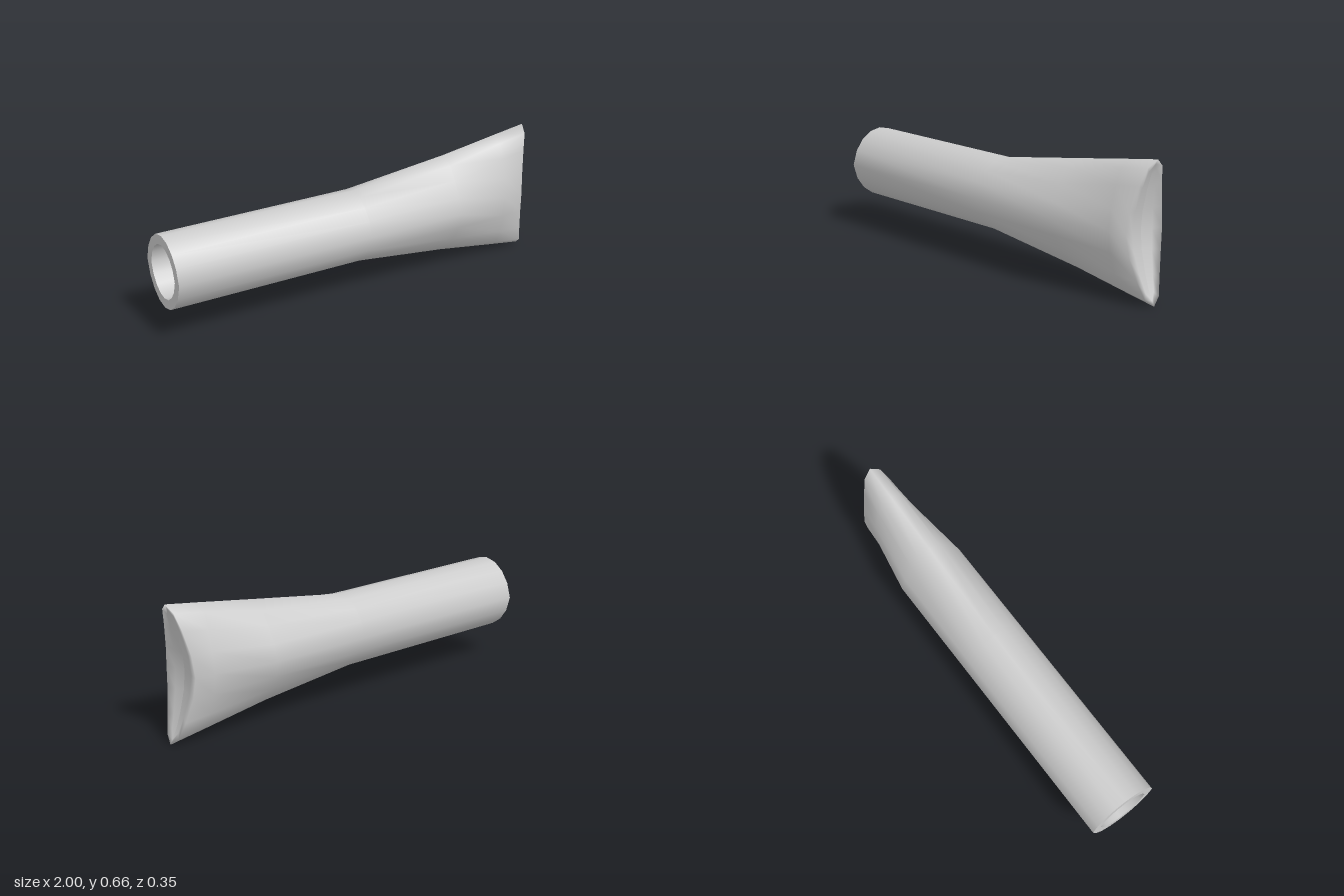
import * as THREE from 'three';

const CENTRE_Y = 0.335;

// Mirrors a quarter outline of [z, y, x] points (side to top) into a closed 16-point ring.
function ring(quarter) {
  const q = quarter.map(([z, y, x]) => [x, y, z]);
  const top = q.slice(0, 4);
  const back = q.slice(1).reverse().map(([x, y, z]) => [x, y, -z]);
  const half = [...top, ...back];
  const lower = half.map(([x, y, z]) => [x, -y, -z]);
  // The side point opens each half, so the lower half starts at the far side.
  return [...half, [q[0][0], 0, -q[0][2]], ...lower.slice(1)];
}

// Skins consecutive rings with smooth normals.
function loft(rings, name, material) {
  const n = rings[0].length;
  const positions = [], index = [];
  for (const r of rings) for (const [x, y, z] of r) positions.push(x, y + CENTRE_Y, z);
  for (let j = 0; j < rings.length - 1; j++) {
    for (let i = 0; i < n; i++) {
      const k = (i + 1) % n;
      const a = j * n + i, b = j * n + k, c = a + n, d = b + n;
      index.push(a, c, b, b, c, d);
    }
  }
  const geometry = new THREE.BufferGeometry();
  geometry.setAttribute('position', new THREE.Float32BufferAttribute(positions, 3));
  geometry.setIndex(index);
  geometry.computeVertexNormals();
  const mesh = new THREE.Mesh(geometry, material);
  mesh.name = name;
  return mesh;
}

export function createModel() {
  const group = new THREE.Group();
  group.name = 'flaredTube';
  const material = new THREE.MeshStandardMaterial({ color: 0xcccccc });

  // Quarter outlines as [z, y]
  const round = [[0.175, 0], [0.152, 0.075], [0.112, 0.13], [0.06, 0.167], [0, 0.18]];
  const oval = [[0.175, 0], [0.152, 0.077], [0.107, 0.155], [0.062, 0.22], [0, 0.258]];
  const flat = [[0.12, 0], [0.108, 0.1], [0.08, 0.2], [0.05, 0.272], [0, 0.305]];
  // The rim sweeps forward to pointed tips
  const rim = [[0.115, 0, 0.93], [0.102, 0.1, 0.938], [0.072, 0.215, 0.962], [0.045, 0.295, 0.985], [0, 0.33, 1]];

  const at = (quarter, x, sz = 1, sy = sz) => ring(quarter.map(([z, y]) => [z * sz, y * sy, x]));
  const dish = (sz, sy, dx) => ring(rim.map(([z, y, x]) => [z * sz, y * sy, x - dx]));

  // Handle, flare and the dished end form one smooth skin
  group.add(loft([
    at(round, -1), at(round, 0), at(oval, 0.52), at(flat, 0.83),
    ring(rim), dish(0.55, 0.93, 0.012), dish(0, 0.88, 0.02),
  ], 'outerBody', material));

  // Flat ring around the open mouth
  group.add(loft([at(round, -1, 0.74), at(round, -1)], 'mouthRing', material));

  // Hollow inside, from the blind end back to the mouth
  group.add(loft([
    at(flat, 0.85, 0, 0.8), at(flat, 0.83, 0.65, 0.85), at(oval, 0.52, 0.74, 0.8),
    at(round, 0, 0.74), at(round, -1, 0.74),
  ], 'innerBore', material));

  return group;
}
